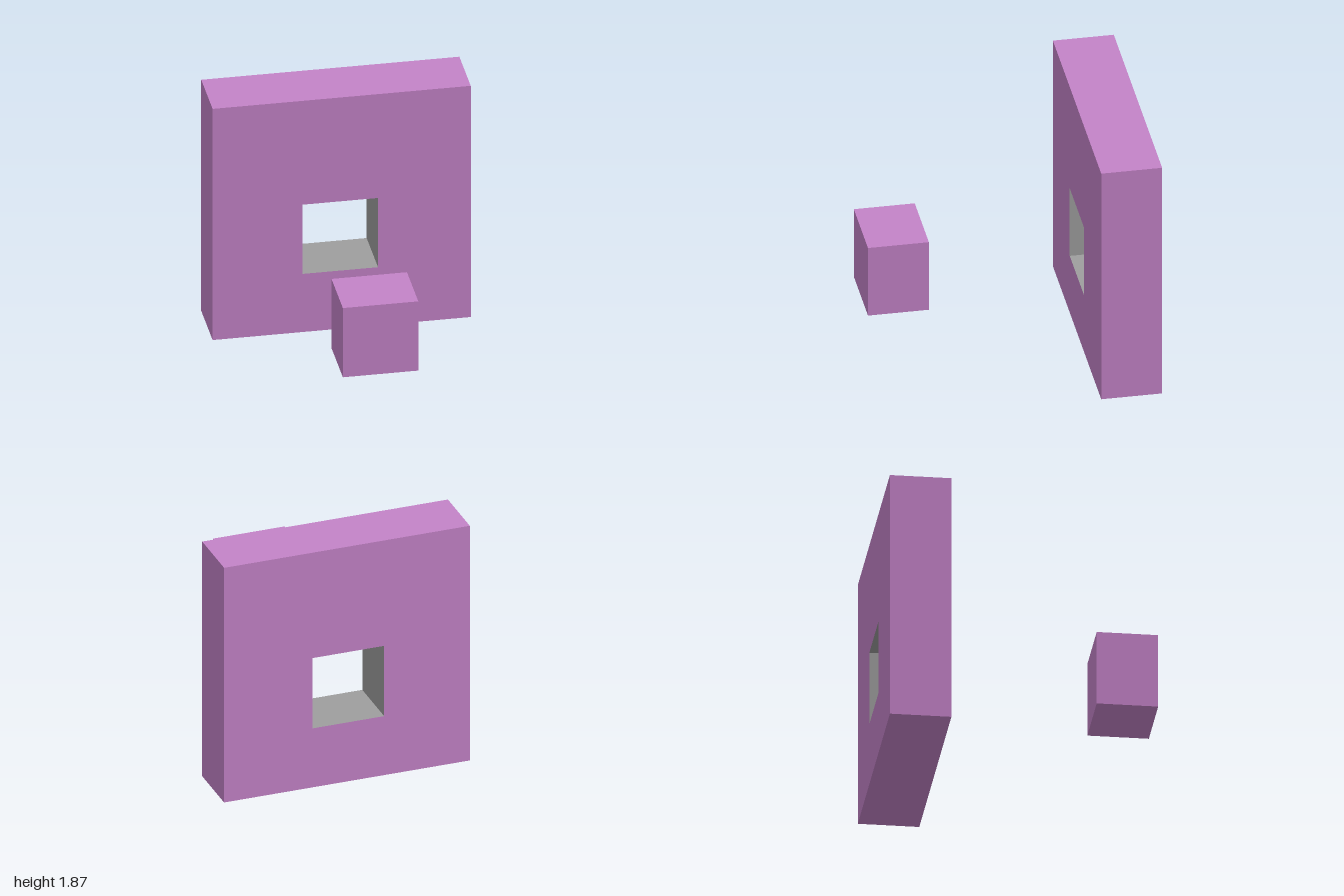
import * as THREE from 'three';

const purple = new THREE.MeshStandardMaterial({ color: 0xc483c8 });
const grey = new THREE.MeshStandardMaterial({ color: 0x9e9e9e });

const WALL = { x0: -0.935, x1: 0.93, y0: 0, y1: 1.87 };
const BLOCK = { x0: -0.285, x1: 0.26, y0: 0.47, y1: 1.03 };
const DEPTH = 0.44;

// Corner points of a rectangle
const corners = ({ x0, x1, y0, y1 }) =>
  [[x0, y0], [x1, y0], [x1, y1], [x0, y1]].map(([x, y]) => new THREE.Vector2(x, y));

export function createModel() {
  const model = new THREE.Group();

  // Thick square wall with a window cut through it
  const outline = new THREE.Shape(corners(WALL));
  outline.holes.push(new THREE.Path(corners(BLOCK).reverse()));
  const wallGeometry = new THREE.ExtrudeGeometry(outline, { depth: DEPTH, bevelEnabled: false });

  // The four window faces come last in the extrusion: colour them grey
  const count = wallGeometry.attributes.position.count;
  const windowCount = 4 * 6;
  wallGeometry.clearGroups();
  wallGeometry.addGroup(0, count - windowCount, 0);
  wallGeometry.addGroup(count - windowCount, windowCount, 1);
  const wall = new THREE.Mesh(wallGeometry, [purple, grey]);
  wall.name = 'wallWithWindow';
  wall.position.z = -1;
  model.add(wall);

  // Block that fits the window, standing clear in front of the wall
  const block = new THREE.Mesh(
    new THREE.BoxGeometry(BLOCK.x1 - BLOCK.x0, BLOCK.y1 - BLOCK.y0, DEPTH), purple);
  block.name = 'block';
  block.position.set((BLOCK.x0 + BLOCK.x1) / 2, (BLOCK.y0 + BLOCK.y1) / 2, 1 - DEPTH / 2);
  model.add(block);

  return model;
}
